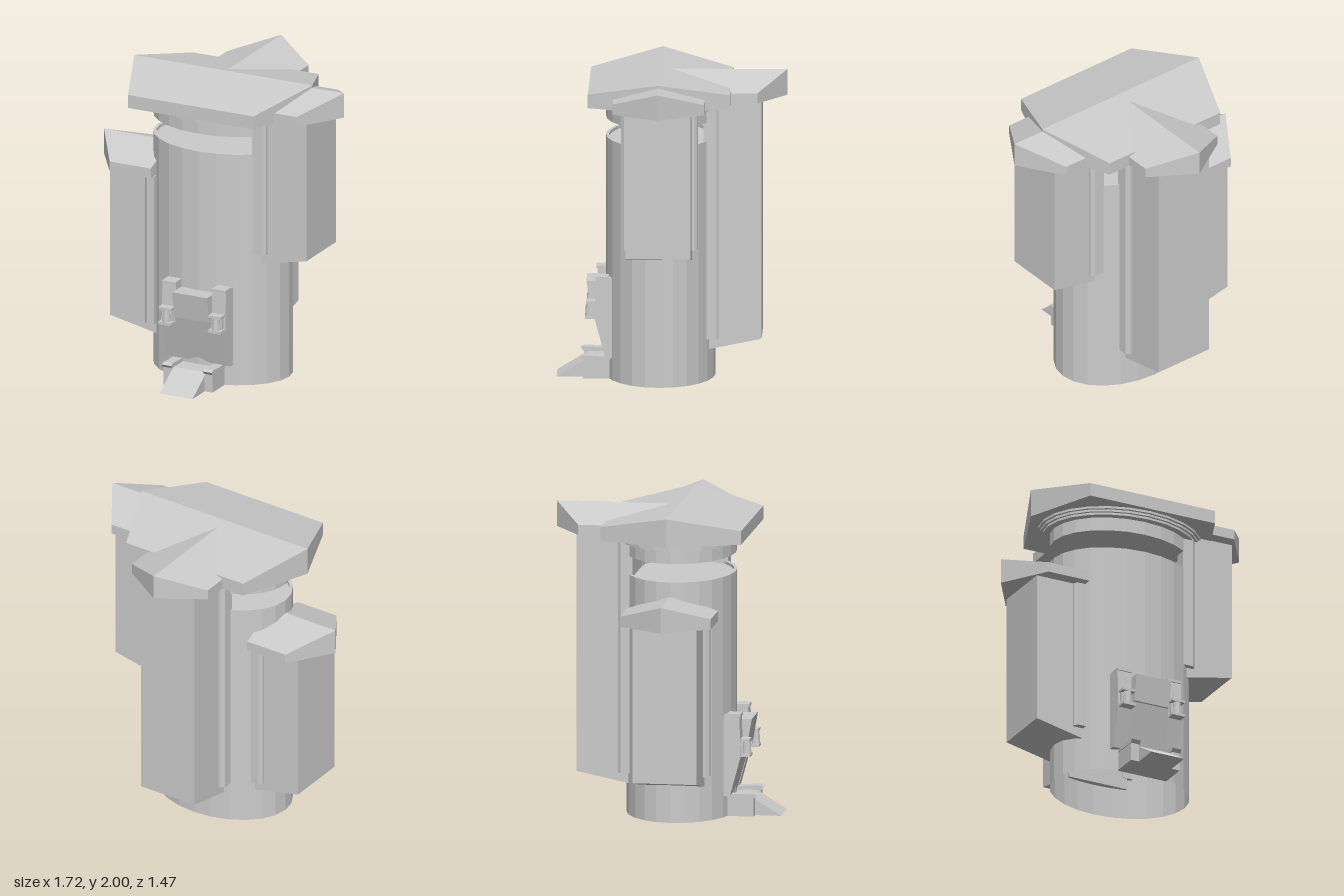
import * as THREE from 'three';
import { ConvexGeometry } from 'three/addons/geometries/ConvexGeometry.js';

const CX = -0.01, CZ = 0.073, RX = 0.47, RZ = 0.35, SIDES = 24;
const grey = new THREE.MeshStandardMaterial({ color: 0xcccccc, flatShading: true });
const greyThin = new THREE.MeshStandardMaterial({ color: 0xcccccc, flatShading: true, side: THREE.DoubleSide });

function add(parent, name, geometry, material = grey) {
  const mesh = new THREE.Mesh(geometry, material);
  mesh.name = name;
  parent.add(mesh);
  return mesh;
}

// Convex solid from corner points
const hull = (pts) => new ConvexGeometry(pts.map((p) => new THREE.Vector3(...p)));

// Side profile of [z, y] points swept between two x values
const sweepX = (profile, x0, x1) =>
  hull(profile.flatMap(([z, y]) => [[x0, y, z], [x1, y, z]]));

const box = (x0, x1, y0, y1, z0, z1) =>
  new THREE.BoxGeometry(x1 - x0, y1 - y0, z1 - z0)
    .translate((x0 + x1) / 2, (y0 + y1) / 2, (z0 + z1) / 2);

// Elliptical drum; grow widens both radii equally
function drum(y0, y1, grow = 0, open = false) {
  return new THREE.CylinderGeometry(1, 1, y1 - y0, SIDES, 1, open)
    .scale(RX + grow, 1, RZ + grow)
    .translate(0, (y0 + y1) / 2, 0);
}

// Flat elliptical ring
const ring = (y, inset) => {
  const shape = new THREE.Shape(), hole = new THREE.Path();
  for (let i = 0; i < SIDES; i++) {
    const a = (i / SIDES) * Math.PI * 2, c = Math.sin(a), s = Math.cos(a);
    shape[i ? 'lineTo' : 'moveTo'](c * RX, s * RZ);
    hole[i ? 'lineTo' : 'moveTo'](c * (RX - inset), s * (RZ - inset));
  }
  shape.holes.push(hole);
  return new THREE.ShapeGeometry(shape).rotateX(-Math.PI / 2).translate(0, y, 0);
};

// Turret built outward along local +x: shaft, corner strips and pointed gable roof
function turret(name, o) {
  const g = new THREE.Group();
  g.name = name;
  g.rotation.y = o.turn;
  const w = 0.207, s = 0.245, r = 0.2925;
  const shaft = [], roof = [];
  for (const m of [-1, 1]) {
    shaft.push([o.inner, o.low, m * w], [o.inner, o.roofY, m * w],
      [o.outer, o.base, m * w], [o.outer, o.roofY, m * w]);
    for (const d of [o.roofInner, o.eave]) {
      roof.push([d, o.roofY, m * r], [d, o.roofY + 0.066, m * r]);
    }
    const plan = [[o.stripIn, 0.17], [o.stripIn, s], [o.stripOut - 0.02, s],
      [o.stripOut, s - 0.02], [o.stripOut, 0.17]];
    add(g, 'cornerStrip', hull(plan.flatMap(([x, z]) =>
      [[x, o.base, m * z], [x, o.roofY - 0.005, m * z]])));
  }
  roof.push([o.apex, o.roofY, 0], [o.apex, o.roofY + 0.166, 0], [o.roofInner, o.roofY + 0.166, 0]);
  add(g, 'turretShaft', hull(shaft));
  add(g, 'turretRoof', hull(roof));
  return g;
}

export function createModel() {
  const model = new THREE.Group();
  const tower = new THREE.Group();
  tower.name = 'tower';
  tower.position.set(CX, 0, CZ);
  model.add(tower);

  // Hollow tower wall with a recessed deck, inner ceiling and rim
  add(tower, 'towerWall', drum(0, 1.56, 0, true), greyThin);
  add(tower, 'parapetWall', drum(1.535, 1.56, -0.02, true), greyThin);
  add(tower, 'parapetRim', ring(1.56, 0.02), greyThin);
  add(tower, 'topDeck', drum(1.52, 1.54, -0.005));
  add(tower, 'lowerFloor', drum(0.33, 0.35, -0.005));

  // Stepped collar under the roof
  add(tower, 'collar', drum(1.68, 1.775));
  add(tower, 'collarStep', drum(1.77, 1.785, 0.045));
  add(tower, 'collarFlange', drum(1.785, 1.8, 0.06));
  add(tower, 'collarTop', drum(1.8, 1.825, 0.076));

  // Six-sided main roof with a ridge along x
  const roof = [];
  for (const m of [-1, 1]) {
    roof.push([m * 0.638, 1.815, 0], [m * 0.638, 2, 0]);
    for (const n of [-1, 1]) roof.push([m * 0.45, 1.815, n * 0.455], [m * 0.45, 1.903, n * 0.455]);
  }
  add(tower, 'mainRoof', hull(roof));

  // Three hanging turrets
  tower.add(turret('leftTurret', { turn: 0, apex: 0.865, eave: 0.675, roofInner: 0.3, roofY: 1.818,
    inner: 0.37, outer: 0.702, low: 0.815, base: 0.885, stripIn: 0.33, stripOut: 0.423 }));
  tower.add(turret('rightTurret', { turn: Math.PI, apex: 0.855, eave: 0.665, roofInner: 0.37, roofY: 1.3,
    inner: 0.37, outer: 0.705, low: 0.223, base: 0.295, stripIn: 0.37, stripOut: 0.445 }));
  tower.add(turret('backTurret', { turn: Math.PI / 2, apex: 0.808, eave: 0.623, roofInner: 0.07, roofY: 1.818,
    inner: 0.285, outer: 0.648, low: 0.195, base: 0.27, stripIn: 0.28, stripOut: 0.378 }));

  // Entrance
  const door = new THREE.Group();
  door.name = 'entrance';
  door.position.x = CX;
  model.add(door);
  add(door, 'ramp', sweepX([[0.735, 0], [0.565, 0.105], [0.54, 0.12], [0.38, 0.12], [0.38, 0]], -0.118, 0.118));
  add(door, 'doorHood', sweepX([[0.38, 0.62], [0.545, 0.625], [0.515, 0.45], [0.38, 0.45]], -0.125, 0.125));
  add(door, 'doorPanel', sweepX([[0.38, 0.45], [0.5, 0.45], [0.415, 0.14], [0.38, 0.14]], -0.13, 0.13));
  for (const m of [-1, 1]) {
    const [a, b] = m < 0 ? [-0.228, -0.13] : [0.13, 0.228];
    add(door, 'doorJamb', sweepX([[0.38, 0.665], [0.48, 0.665], [0.49, 0.4], [0.42, 0.14], [0.38, 0.14]], a, b));
    add(door, 'jambCap', box(a, b, 0.655, 0.672, 0.4, 0.488));
    const [c, d] = m < 0 ? [-0.175, -0.118] : [0.118, 0.175];
    add(door, 'rampPost', box(c, d, 0, 0.125, 0.38, 0.565));
    add(door, 'rampPostCap', sweepX([[0.38, 0.12], [0.568, 0.12], [0.585, 0.14], [0.56, 0.15], [0.38, 0.14]],
      c - 0.004, d + 0.004));

    // Wall lamp
    const lamp = new THREE.Group();
    lamp.name = 'lamp';
    lamp.position.x = m * 0.178;
    door.add(lamp);
    add(lamp, 'lampTop', box(-0.045, 0.045, 0.495, 0.51, 0.47, 0.545));
    add(lamp, 'lampBody', new THREE.CylinderGeometry(0.024, 0.03, 0.09, 8).translate(0, 0.45, 0.522));
    add(lamp, 'lampBase', box(-0.045, 0.045, 0.395, 0.412, 0.47, 0.55));
    add(lamp, 'lampBack', box(-0.035, 0.035, 0.4, 0.5, 0.47, 0.505));
  }

  // Inner stairs rising from the doorway
  for (let i = 0; i < 6; i++) {
    const z = 0.38 - i * 0.055, y = 0.09 + i * 0.045;
    add(door, 'stair', box(-0.12, 0.12, y - 0.045, y, z - 0.06, z));
  }
  return model;
}
